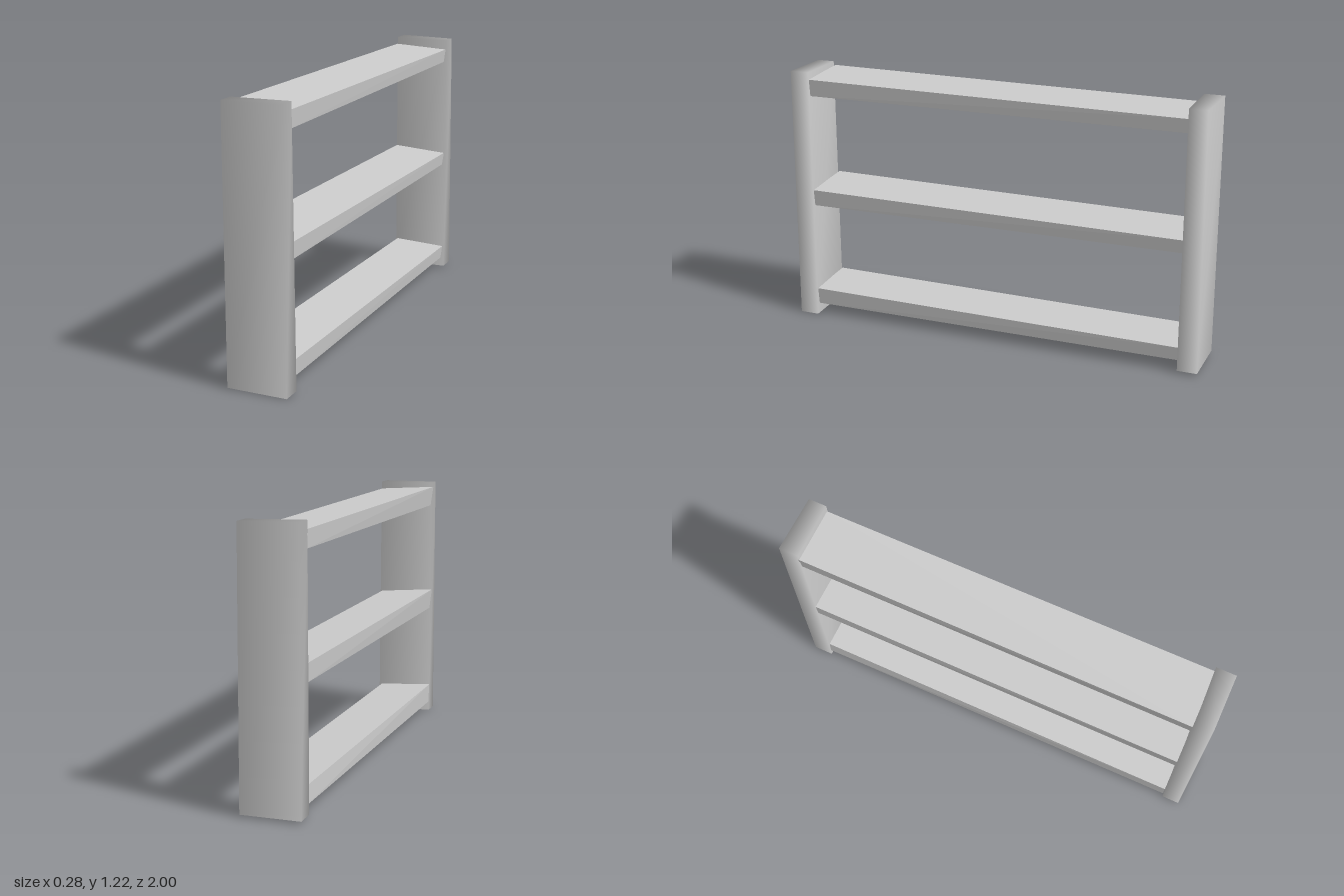
import * as THREE from 'three';
import { mergeVertices } from 'three/addons/utils/BufferGeometryUtils.js';

const grey = new THREE.MeshStandardMaterial({ color: 0xcccccc });
const greyFlat = new THREE.MeshStandardMaterial({ color: 0xcccccc, flatShading: true });

// A unit box whose corners are placed by corner(sx, sy, sz), each sign being -1 or 1
function skewedBox(name, corner, smooth) {
  let geo = new THREE.BoxGeometry(2, 2, 2);
  const p = geo.attributes.position;
  for (let i = 0; i < p.count; i++) {
    p.setXYZ(i, ...corner(Math.sign(p.getX(i)), Math.sign(p.getY(i)), Math.sign(p.getZ(i))));
  }
  if (smooth) {
    // weld the corners so the shading runs softly around the edges
    geo.deleteAttribute('normal');
    geo.deleteAttribute('uv');
    geo = mergeVertices(geo);
  }
  geo.computeVertexNormals();
  const mesh = new THREE.Mesh(geo, smooth ? grey : greyFlat);
  mesh.name = name;
  return mesh;
}

export function createModel() {
  const model = new THREE.Group();
  model.name = 'shelfRack';

  // Upright end panels, slightly out of square
  model.add(skewedBox('frontPanel', (sx, sy, sz) => [
    sx > 0 ? (sy > 0 ? 0.132 : 0.14) : -0.132,
    sy > 0 ? 1.21 : (sx > 0 ? 0 : 0.005),
    sz > 0 ? 0.998 : (sx > 0 ? 0.906 : 0.915),
  ], true));
  model.add(skewedBox('backPanel', (sx, sy, sz) => [
    sx > 0 ? (sy > 0 ? 0.13 : 0.135) : -0.134,
    sy > 0 ? (sx > 0 ? 1.21 : 1.215) : 0.012,
    sz > 0 ? -0.907 : (sx > 0 && sy > 0 ? -0.991 : -0.999),
  ], true));

  // Three boards: heights of left top, right top and bottom edges, and right overhang
  const boards = [
    ['bottomShelf', 0.13, 0.145, 0.053, -0.134],
    ['middleShelf', 0.635, 0.655, 0.56, -0.142],
    ['topShelf', 1.175, 1.19, 1.098, -0.144],
  ];
  for (const [name, leftTop, rightTop, bottom, overhang] of boards) {
    model.add(skewedBox(name, (sx, sy, sz) => [
      sx > 0 ? (sy > 0 ? 0.127 : 0.118) : (sy > 0 ? overhang - 0.004 * (sz - 1) : -0.13),
      sy > 0 ? (sx > 0 ? leftTop : rightTop) + 0.005 * (sz - 1) : bottom - 0.003 * sz,
      sz * 0.912,
    ], false));
  }
  return model;
}
